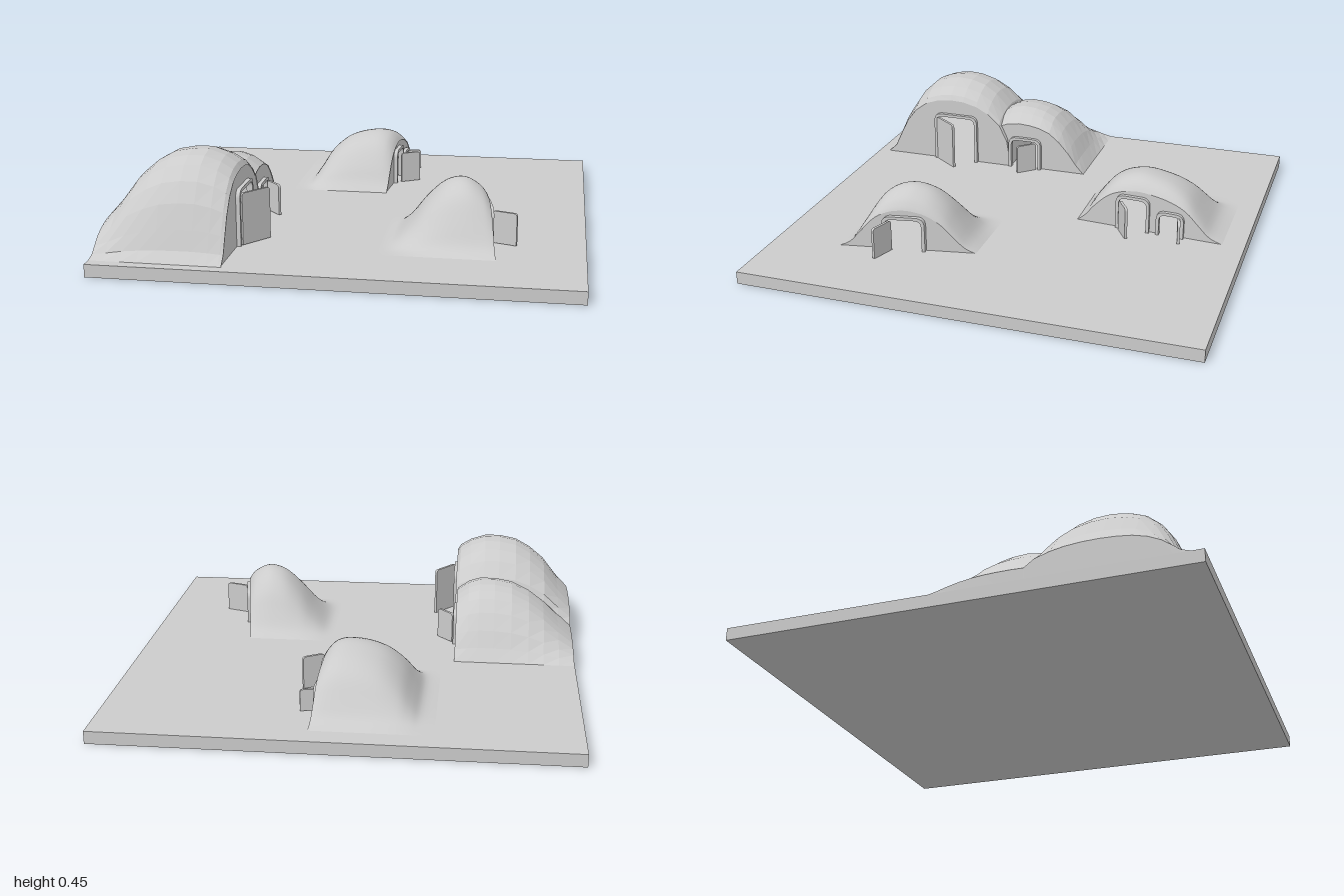
import * as THREE from 'three';

const BASE = 0.055;
const grey = (flatShading) => new THREE.MeshStandardMaterial({ color: 0xcccccc, side: THREE.DoubleSide, flatShading });

function add(group, name, geometry, flat = true) {
  const mesh = new THREE.Mesh(geometry, grey(flat));
  mesh.name = name;
  group.add(mesh);
}

// Round-topped opening from a0 to a1, standing on the ground
function arch(path, a0, a1, top, r) {
  path.moveTo(a0, BASE);
  path.lineTo(a1, BASE);
  path.lineTo(a1, top - r);
  path.quadraticCurveTo(a1, top, a1 - r, top);
  path.lineTo(a0 + r, top);
  path.quadraticCurveTo(a0, top, a0, top - r);
  path.lineTo(a0, BASE);
  return path;
}

// Interpolated list of points, either smooth or as given
const sample = (pts, smooth) => {
  const v = pts.map(([a, b]) => new THREE.Vector2(a, b));
  return smooth ? new THREE.SplineCurve(v).getPoints(36) : v;
};

// Mound surface: an arched profile over z, scaled along x by a falloff
function moundShell(profile, falloff, frontX) {
  const pos = [], index = [], n = profile.length;
  const back = falloff[0].x, front = falloff[falloff.length - 1].x;
  falloff.forEach((f) => {
    const u = (f.x - back) / (front - back);
    profile.forEach((p) => pos.push(
      back + u * (frontX(p.x) - back),
      BASE + Math.max(0, p.y - BASE) * Math.max(0, f.y),
      p.x));
  });
  for (let i = 0; i < falloff.length - 1; i++) {
    for (let j = 0; j < n - 1; j++) {
      const a = i * n + j, b = a + 1, c = a + n, d = c + 1;
      index.push(a, b, c, b, d, c);
    }
  }
  const g = new THREE.BufferGeometry();
  g.setAttribute('position', new THREE.Float32BufferAttribute(pos, 3));
  g.setIndex(index);
  g.computeVertexNormals();
  return g;
}

// Turns a flat shape to face +x and shears it onto the line of the facade
function onFacade(shape, frontX, depth, offset) {
  const g = depth
    ? new THREE.ExtrudeGeometry(shape, { depth, bevelEnabled: false, curveSegments: 8 })
    : new THREE.ShapeGeometry(shape, 8);
  g.rotateY(Math.PI / 2);
  const p = g.attributes.position;
  for (let i = 0; i < p.count; i++) p.setX(i, p.getX(i) + frontX(p.getZ(i)) + offset);
  g.computeVertexNormals();
  return g;
}

function house({ name, smooth, profile, falloff, face, doors }) {
  const group = new THREE.Group();
  group.name = name;
  const [[x0, z0], [x1, z1]] = face;
  const frontX = (z) => x0 + (x1 - x0) * (z - z0) / (z1 - z0);
  const section = sample(profile, smooth), fall = sample(falloff, smooth);
  add(group, 'moundRoof', moundShell(section, fall, frontX), !smooth);

  // Front wall with openings, closing the front end of the mound
  const q = fall[fall.length - 1].y;
  const outline = section.map((p) => new THREE.Vector2(-p.x, BASE + Math.max(0, p.y - BASE) * q));
  const wall = new THREE.Shape(outline);
  doors.forEach((d) => wall.holes.push(arch(new THREE.Path(), -d.z[1], -d.z[0], d.top, 0.03)));
  add(group, 'frontWall', onFacade(wall, frontX, 0, -0.004));

  doors.forEach((d) => {
    // Door surround
    const w = 0.014;
    const frame = arch(new THREE.Shape(), -d.z[1] - w, -d.z[0] + w, d.top + w, 0.04);
    frame.holes.push(arch(new THREE.Path(), -d.z[1], -d.z[0], d.top, 0.03));
    add(group, 'doorFrame', onFacade(frame, frontX, 0.026, -0.012));

    // Open door leaf, from hinge to free edge
    const [[hx, hz], [tx, tz]] = d.leaf;
    const leaf = new THREE.ExtrudeGeometry(
      arch(new THREE.Shape(), 0, Math.hypot(tx - hx, tz - hz), d.top - 0.005, 0.015),
      { depth: 0.012, bevelEnabled: false, curveSegments: 5 });
    leaf.translate(0, 0.003, -0.006);
    leaf.rotateY(Math.atan2(hz - tz, tx - hx));
    leaf.translate(hx, 0, hz);
    add(group, 'doorLeaf', leaf);
  });
  return group;
}

export function createModel() {
  const model = new THREE.Group();
  model.name = 'moundVillage';

  const slab = new THREE.BoxGeometry(2, BASE, 2);
  slab.translate(0, BASE / 2, 0);
  add(model, 'groundSlab', slab);

  // Large faceted mound at the edge of the slab
  model.add(house({
    name: 'largeMound', smooth: false,
    profile: [[0.28, BASE], [0.3, 0.22], [0.34, 0.32], [0.4, 0.385], [0.46, 0.425], [0.53, 0.447], [0.6, 0.452],
      [0.67, 0.44], [0.73, 0.415], [0.79, 0.36], [0.84, 0.28], [0.88, 0.18], [0.91, 0.1], [0.95, BASE]],
    falloff: [[-1, 0], [-0.999, 0.3], [-0.94, 0.47], [-0.87, 0.71], [-0.8, 0.86], [-0.73, 0.96], [-0.65, 1],
      [-0.58, 1], [-0.51, 0.94], [-0.46, 0.86], [-0.445, 0.8]],
    face: [[-0.445, 0], [-0.445, 1]],
    doors: [{ z: [0.47, 0.67], top: 0.285, leaf: [[-0.43, 0.665], [-0.34, 0.545]] }],
  }));

  // Smaller faceted mound leaning against it
  model.add(house({
    name: 'sideMound', smooth: false,
    profile: [[-0.1, BASE], [-0.06, 0.11], [-0.02, 0.18], [0.03, 0.25], [0.08, 0.3], [0.13, 0.325], [0.18, 0.338],
      [0.24, 0.343], [0.3, 0.332], [0.36, 0.3], [0.37, BASE]],
    falloff: [[-1, 0], [-0.999, 0.17], [-0.93, 0.38], [-0.86, 0.62], [-0.79, 0.81], [-0.71, 0.95], [-0.63, 1],
      [-0.56, 1], [-0.51, 0.94], [-0.455, 0.8]],
    face: [[-0.455, 0], [-0.455, 1]],
    doors: [{ z: [0.135, 0.275], top: 0.2, leaf: [[-0.44, 0.145], [-0.37, 0.22]] }],
  }));

  // Smooth mound at the back with two doors
  model.add(house({
    name: 'backMound', smooth: true,
    profile: [[-0.9, BASE], [-0.84, 0.085], [-0.79, 0.145], [-0.73, 0.22], [-0.66, 0.265], [-0.58, 0.29], [-0.5, 0.3],
      [-0.42, 0.28], [-0.36, 0.24], [-0.3, 0.165], [-0.26, 0.1], [-0.22, BASE]],
    falloff: [[-0.4, 0], [-0.34, 0.06], [-0.3, 0.27], [-0.25, 0.58], [-0.18, 0.83], [-0.1, 0.96], [-0.02, 1],
      [0.03, 0.96], [0.06, 0.87], [0.078, 0.77]],
    face: [[0.105, -0.86], [0.055, -0.22]],
    doors: [
      { z: [-0.55, -0.42], top: 0.205, leaf: [[0.1, -0.43], [0.185, -0.482]] },
      { z: [-0.71, -0.61], top: 0.155, leaf: [[0.1, -0.7], [0.165, -0.715]] },
    ],
  }));

  // Smooth mound at the front left
  model.add(house({
    name: 'frontMound', smooth: true,
    profile: [[0.1, BASE], [0.15, 0.09], [0.2, 0.16], [0.25, 0.235], [0.31, 0.29], [0.37, 0.315], [0.42, 0.32],
      [0.48, 0.305], [0.54, 0.26], [0.6, 0.17], [0.65, 0.09], [0.7, BASE]],
    falloff: [[0.11, 0], [0.18, 0.03], [0.25, 0.29], [0.32, 0.64], [0.39, 0.9], [0.45, 1], [0.5, 0.99],
      [0.55, 0.88], [0.575, 0.77], [0.585, 0.7]],
    face: [[0.53, 0.12], [0.635, 0.7]],
    doors: [{ z: [0.33, 0.49], top: 0.2, leaf: [[0.605, 0.465], [0.71, 0.5]] }],
  }));

  return model;
}
